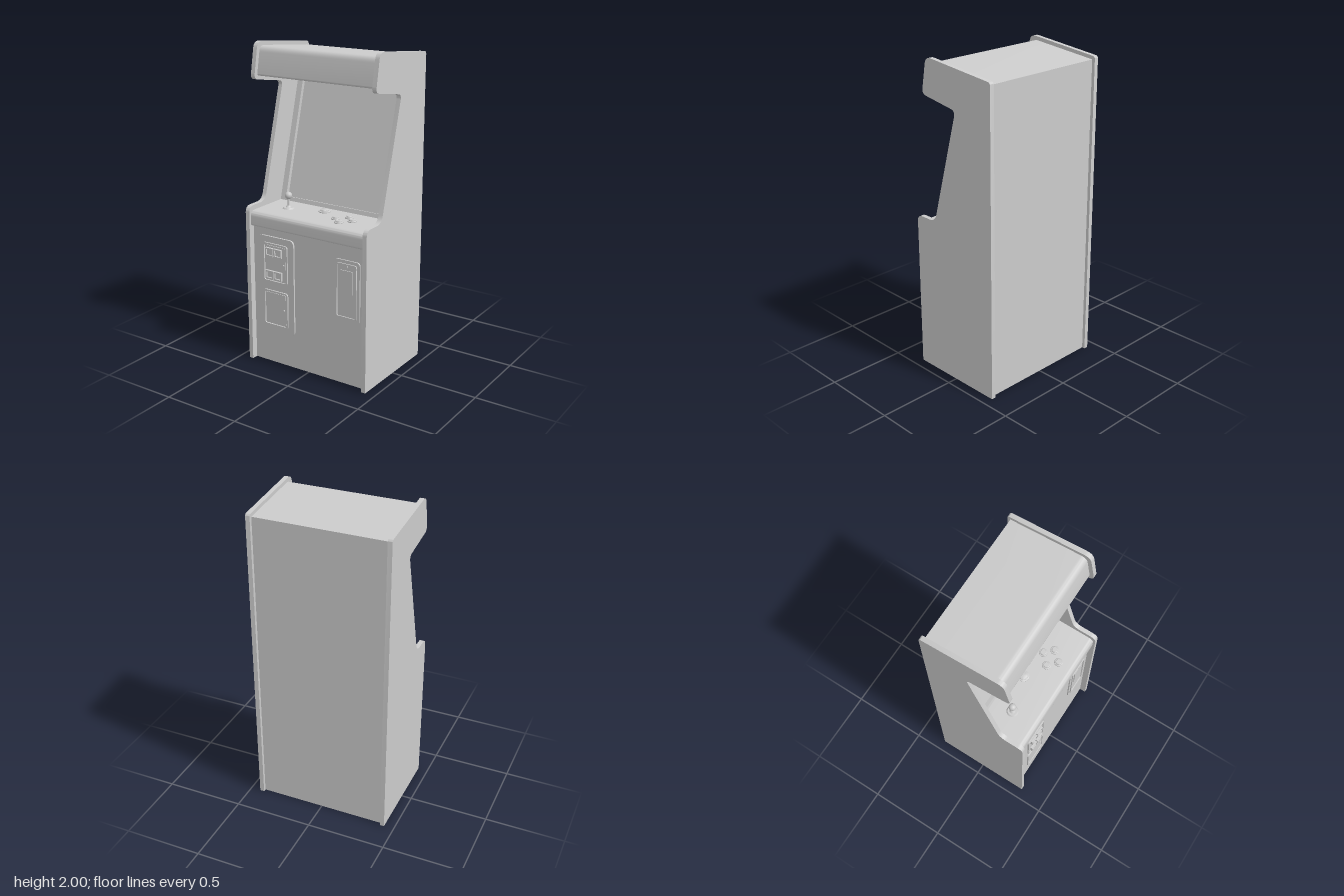
import * as THREE from 'three';
import { toCreasedNormals } from 'three/addons/utils/BufferGeometryUtils.js';

const material = new THREE.MeshStandardMaterial({ color: 0xcccccc });

function add(parent, name, geometry, x = 0, y = 0, z = 0) {
  const mesh = new THREE.Mesh(geometry, material);
  mesh.name = name;
  mesh.position.set(x, y, z);
  parent.add(mesh);
  return mesh;
}

// Closed outline from [x, y, cornerRadius] points
function roundedOutline(points, Type = THREE.Shape) {
  const shape = new Type();
  const n = points.length;
  points.forEach(([x, y, r = 0], i) => {
    const corner = new THREE.Vector2(x, y);
    const toward = ([px, py]) => {
      const d = new THREE.Vector2(px - x, py - y);
      return corner.clone().add(d.setLength(Math.min(r, d.length() / 2)));
    };
    const a = r ? toward(points[(i + n - 1) % n]) : corner;
    if (i === 0) shape.moveTo(a.x, a.y);
    else shape.lineTo(a.x, a.y);
    if (r) {
      const b = toward(points[(i + 1) % n]);
      shape.quadraticCurveTo(x, y, b.x, b.y);
    }
  });
  shape.closePath();
  return shape;
}

const rectangle = (x0, y0, x1, y1, r, Type) =>
  roundedOutline([[x0, y0, r], [x1, y0, r], [x1, y1, r], [x0, y1, r]], Type);

function extrude(shape, depth) {
  const geometry = new THREE.ExtrudeGeometry(shape, { depth, bevelEnabled: false, curveSegments: 10 });
  return toCreasedNormals(geometry, 0.6);
}

// Side-on (z, y) profile extruded across x0..x1
function acrossX(shape, x0, x1) {
  return extrude(shape, x1 - x0).rotateY(-Math.PI / 2).translate(x1, 0, 0);
}

// Upright plate facing +z, optionally an open frame of the given border
function plate(parent, name, [x0, y0, x1, y1], r, z0, z1, border = 0) {
  const shape = rectangle(x0, y0, x1, y1, r);
  if (border) {
    shape.holes.push(rectangle(x0 + border, y0 + border, x1 - border, y1 - border,
      Math.max(r - border, 0), THREE.Path));
  }
  return add(parent, name, extrude(shape, z1 - z0), 0, 0, z0);
}

function lock(parent, x, y, z) {
  add(parent, 'lock', new THREE.CylinderGeometry(0.007, 0.007, 0.008, 16).rotateX(Math.PI / 2), x, y, z);
}

export function createModel() {
  const model = new THREE.Group();
  model.name = 'arcadeCabinet';

  // Side panels
  const sideProfile = roundedOutline([
    [-0.32, 0], [0.32, 0], [0.32, 1.015, 0.045], [0.16, 1.015, 0.05], [-0.04, 1.737, 0.035],
    [0.24, 1.782, 0.035], [0.2, 2.004, 0.045], [-0.32, 1.95, 0.018],
  ]);
  add(model, 'leftSidePanel', acrossX(sideProfile, 0.408, 0.436));
  add(model, 'rightSidePanel', acrossX(sideProfile, -0.436, -0.408));

  // Body with control shelf, screen face and overhanging marquee
  const bodyProfile = roundedOutline([
    [-0.3, 0], [0.28, 0], [0.28, 0.89], [0.305, 0.89, 0.012], [0.305, 0.984, 0.035],
    [-0.026, 0.984], [-0.241, 1.785], [0.211, 1.8, 0.015], [0.178, 1.978, 0.04], [-0.3, 1.93],
  ]);
  add(model, 'body', acrossX(bodyProfile, -0.408, 0.408));

  // Tilted frame around the screen
  const bezelShape = rectangle(-0.408, 0, 0.408, 0.826, 0);
  bezelShape.holes.push(rectangle(-0.37, 0.026, 0.37, 0.778, 0.01, THREE.Path));
  const bezel = add(model, 'screenBezel', extrude(bezelShape, 0.026).translate(0, 0, -0.026), 0, 0.984, 0);
  bezel.rotation.x = -Math.atan(0.27);

  // Joystick
  const joystick = new THREE.Group();
  joystick.name = 'joystick';
  joystick.position.set(-0.25, 0.984, 0.13);
  model.add(joystick);
  add(joystick, 'joystickBase', new THREE.CylinderGeometry(0.03, 0.037, 0.008, 32), 0, 0.004, 0);
  add(joystick, 'joystickCollar', new THREE.CylinderGeometry(0.009, 0.018, 0.01, 24), 0, 0.013, 0);
  add(joystick, 'joystickShaft', new THREE.CylinderGeometry(0.006, 0.006, 0.07, 16), 0, 0.04, 0);
  add(joystick, 'joystickBall', new THREE.SphereGeometry(0.023, 24, 16), 0, 0.082, 0);

  // Buttons: [x, z, radius]
  const buttons = [[-0.025, 0.065, 0.037], [0.11, 0.148, 0.027], [0.17, 0.088, 0.027],
    [0.167, 0.2, 0.027], [0.222, 0.138, 0.027]];
  for (const [x, z, r] of buttons) {
    const profile = [[r, 0], [r, 0.005], [r * 0.88, 0.008], [r * 0.72, 0.008], [r * 0.7, 0.013],
      [r * 0.58, 0.016], [0, 0.016]].map(([px, py]) => new THREE.Vector2(px, py));
    add(model, 'button', toCreasedNormals(new THREE.LatheGeometry(profile, 28), 0.6), x, 0.984, z);
  }

  // Coin door: backing plate, two framed doors, four coin slots
  const coinDoor = new THREE.Group();
  coinDoor.name = 'coinDoor';
  model.add(coinDoor);
  plate(coinDoor, 'coinDoorPlate', [-0.365, 0.215, -0.1, 0.84], 0.035, 0.275, 0.291);
  for (const [y0, y1] of [[0.545, 0.8], [0.255, 0.492]]) {
    plate(coinDoor, 'doorFrame', [-0.328, y0, -0.143, y1], 0.02, 0.288, 0.3, 0.012);
    plate(coinDoor, 'doorPanel', [-0.312, y0 + 0.016, -0.159, y1 - 0.016], 0.01, 0.288, 0.296);
    lock(coinDoor, -0.172, (y0 + y1) / 2, 0.298);
  }
  for (const x of [-0.3, -0.238]) {
    for (const y of [0.57, 0.717]) {
      plate(coinDoor, 'coinSlotFrame', [x, y, x + 0.057, y + 0.054], 0, 0.292, 0.31, 0.008);
      plate(coinDoor, 'coinSlot', [x + 0.006, y + 0.006, x + 0.051, y + 0.048], 0, 0.292, 0.3);
    }
  }

  // Service hatch on the model's left
  const hatch = new THREE.Group();
  hatch.name = 'serviceHatch';
  model.add(hatch);
  plate(hatch, 'hatchPlate', [0.187, 0.413, 0.372, 0.798], 0.025, 0.275, 0.288);
  plate(hatch, 'hatchFrame', [0.207, 0.433, 0.352, 0.778], 0.015, 0.286, 0.295, 0.01);
  plate(hatch, 'hatchPanel', [0.238, 0.59, 0.322, 0.735], 0, 0.286, 0.293);
  lock(hatch, 0.285, 0.757, 0.29);

  return model;
}
